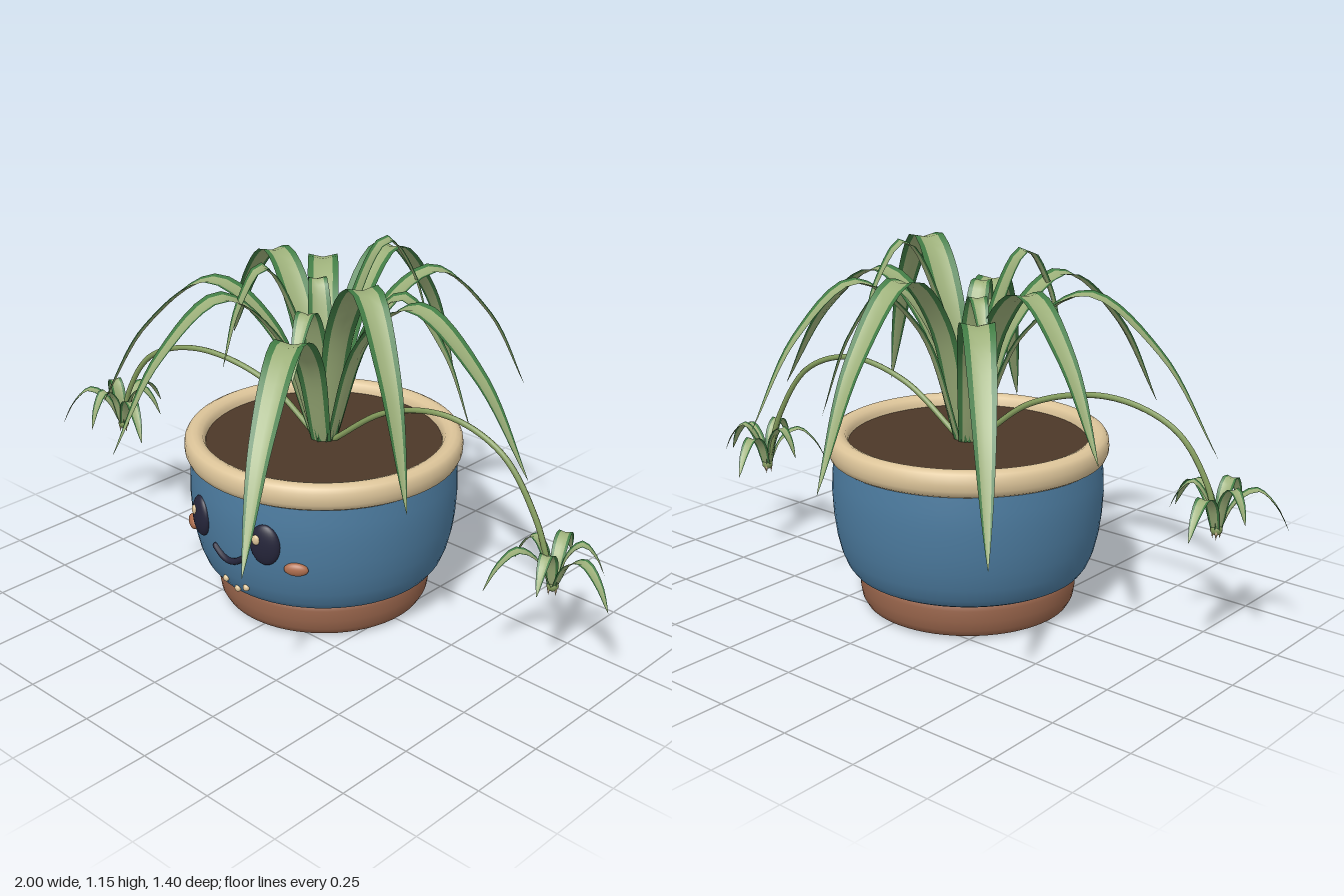
import * as THREE from 'three';

const mat = (name, color, side = THREE.FrontSide) => {
  const m = new THREE.MeshStandardMaterial({ color, side });
  m.name = name;
  return m;
};
const V = (x, y, z) => new THREE.Vector3(x, y, z);
const CX = -0.037, CZ = -0.005; // pot axis

export function createModel() {
  const model = new THREE.Group();
  model.name = 'pottedSpiderPlant';
  const blue = mat('blueGlaze', 0x4c7b9f), clay = mat('terracotta', 0x96634a);
  const cream = mat('cream', 0xdcc499), soilMat = mat('soil', 0x4c3828);
  const ink = mat('darkNavy', 0x25253a), blush = mat('blush', 0xae6e4e);
  const dark = mat('leafGreen', 0x427d45, THREE.DoubleSide);
  const light = mat('leafStripe', 0x9db07a, THREE.DoubleSide);
  const stemMat = mat('runnerGreen', 0x839b5c);

  const add = (name, geo, material, parent = model) => {
    const m = new THREE.Mesh(geo, material);
    m.name = name;
    parent.add(m);
    return m;
  };

  // Pot: foot, body, rim and soil
  const pot = new THREE.Group();
  pot.name = 'pot';
  pot.position.set(CX, 0, CZ);
  model.add(pot);
  const lathe = (name, pts, material) =>
    add(name, new THREE.LatheGeometry(pts.map(p => new THREE.Vector2(...p)), 64), material, pot);
  lathe('foot', [[0, 0], [0.29, 0], [0.305, 0.002], [0.322, 0.01], [0.333, 0.03], [0.338, 0.06], [0.338, 0.095], [0.332, 0.115], [0.3, 0.122]], clay);
  lathe('body', [[0.32, 0.113], [0.35, 0.115], [0.364, 0.123], [0.38, 0.145], [0.396, 0.185], [0.409, 0.24], [0.417, 0.3], [0.421, 0.37], [0.419, 0.43], [0.412, 0.49]], blue);
  lathe('rim', [[0.4, 0.478], [0.415, 0.479], [0.426, 0.486], [0.433, 0.502], [0.434, 0.52], [0.432, 0.538], [0.424, 0.551], [0.41, 0.558],
    [0.395, 0.558], [0.378, 0.551], [0.369, 0.535], [0.366, 0.51]], cream);
  const soil = add('soil', new THREE.CircleGeometry(0.372, 48), soilMat, pot);
  soil.rotation.x = -Math.PI / 2;
  soil.position.y = 0.525;

  // Face: flattened ellipsoids set on the curved front
  const bead = (name, x, y, R, size, material) => {
    const m = add(name, new THREE.SphereGeometry(1, 24, 16), material, pot);
    m.scale.set(...size);
    m.position.set(x, y, Math.sqrt(R * R - x * x));
    m.rotation.y = Math.asin(x / R);
  };
  for (const s of [-1, 1]) {
    bead('eye', s * 0.138, 0.35, 0.419, [0.049, 0.066, 0.022], ink);
    bead('eyeGlint', s * 0.138 - 0.014, 0.37, 0.438, [0.013, 0.016, 0.008], cream);
    bead('cheek', s * 0.224, 0.283, 0.419, [0.037, 0.021, 0.015], blush);
  }
  for (const [x, y] of [[-0.044, 0.165], [-0.001, 0.143], [0.044, 0.165]])
    bead('freckle', x, y, y > 0.15 ? 0.391 : 0.381, [0.011, 0.011, 0.009], cream);
  const smile = new THREE.CatmullRomCurve3([-1, -0.8, -0.45, 0, 0.45, 0.8, 1].map(u =>
    V(u * 0.06, 0.281 - 0.028 * Math.cos(u * Math.PI / 2), 0.415 - 0.003 * u * u)));
  add('mouth', new THREE.TubeGeometry(smile, 32, 0.01, 10), ink, pot);
  for (const s of [-1, 1]) {
    const end = add('mouthEnd', new THREE.SphereGeometry(0.01, 10, 8), ink, pot);
    end.position.set(s * 0.06, 0.281, 0.412);
  }

  // Leaf: shallow tapering strip along an arch, pale centre and green edges
  const across = [-1, -0.62, 0, 0.62, 1];
  function leafGeometry(root, tip, apexY, f, half, N) {
    const out = V(tip.x - root.x, 0, tip.z - root.z);
    const at = (r, y) => V(root.x + out.x * r, y, root.z + out.z * r);
    const curve = new THREE.CatmullRomCurve3([
      root, at(f * 0.42, root.y + (apexY - root.y) * 0.72), at(f, apexY),
      at((1 + f) / 2 + 0.03, apexY - (apexY - tip.y) * 0.36), tip]);
    const d = out.clone().normalize(), side = V(-d.z, 0, d.x);
    const pos = [], edge = [], mid = [];
    for (let i = 0; i <= N; i++) {
      const t = i / N, p = curve.getPointAt(t);
      const n = side.clone().cross(curve.getTangentAt(t)).normalize();
      const w = half * Math.min(0.55 + 1.1 * t, 1) * Math.pow(1 - Math.pow(t, 2.6), 0.9) + 0.0006;
      for (const u of across) {
        const q = p.clone().addScaledVector(side, u * w).addScaledVector(n, (Math.abs(u) - 0.5) * w * 0.22);
        pos.push(q.x, q.y, q.z);
      }
      if (i < N) for (let k = 0; k < 4; k++) {
        const a = i * 5 + k, b = a + 5;
        (k === 0 || k === 3 ? edge : mid).push(a, a + 1, b, a + 1, b + 1, b);
      }
    }
    const g = new THREE.BufferGeometry();
    g.setAttribute('position', new THREE.Float32BufferAttribute(pos, 3));
    g.setIndex([...edge, ...mid]);
    g.addGroup(0, edge.length, 0);
    g.addGroup(edge.length, mid.length, 1);
    g.computeVertexNormals();
    return g;
  }

  // Main rosette: tip x, y, z, arch height, arch position, half width
  const leaves = [
    [-0.6, 0.42, -0.59, 0.98, 0.5, 0.054], [-0.085, 0.54, -0.7, 1.07, 0.43, 0.055],
    [0.3, 0.62, -0.585, 1.04, 0.5, 0.052], [0.35, 0.58, -0.25, 1.0, 0.48, 0.052],
    [0.69, 0.59, -0.08, 1.02, 0.43, 0.055], [0.54, 0.56, 0.27, 1.11, 0.48, 0.056],
    [0.325, 0.45, 0.695, 0.96, 0.43, 0.056], [-0.33, 0.57, 0.595, 1.02, 0.45, 0.056],
    [-0.735, 0.53, 0.31, 1.0, 0.45, 0.052], [-0.7, 0.64, -0.25, 1.04, 0.45, 0.054],
    [-0.18, 0.8, 0.28, 1.1, 0.55, 0.05], [0.09, 0.82, 0.26, 0.99, 0.5, 0.046],
    [-0.23, 0.84, -0.16, 1.0, 0.52, 0.046], [0.14, 0.86, -0.29, 1.15, 0.55, 0.048],
  ];
  const rosette = new THREE.Group();
  rosette.name = 'leaves';
  model.add(rosette);
  for (const [x, y, z, apex, f, w] of leaves) {
    const a = Math.atan2(z - CZ, x - CX);
    const root = V(CX + 0.03 * Math.cos(a), 0.515, CZ + 0.03 * Math.sin(a));
    add('leaf', leafGeometry(root, V(x, y, z), apex, f, w, 28), [dark, light], rosette);
  }

  // Runners, each ending in a hanging plantlet with small roots
  const runners = [
    { path: [[-0.06, 0.52, 0], [-0.25, 0.67, 0.04], [-0.5, 0.722, 0.09], [-0.7, 0.655, 0.125], [-0.8, 0.51, 0.145], [-0.835, 0.38, 0.15]],
      tips: [[-1, 0.37, 0.28], [-0.83, 0.4, 0.29], [-0.645, 0.39, 0.23], [-0.71, 0.43, 0.09], [-0.86, 0.4, -0.04], [-0.95, 0.43, 0.11]] },
    { path: [[-0.01, 0.52, -0.01], [0.2, 0.67, -0.03], [0.42, 0.716, -0.05], [0.6, 0.65, -0.07], [0.72, 0.48, -0.085], [0.79, 0.285, -0.09]],
      tips: [[0.66, 0.28, 0.07], [0.84, 0.33, 0.06], [1, 0.29, -0.06], [0.91, 0.33, -0.17], [0.72, 0.3, -0.28], [0.66, 0.33, -0.08]] },
  ];
  for (const { path, tips } of runners) {
    const curve = new THREE.CatmullRomCurve3(path.map(p => V(...p)));
    add('runner', new THREE.TubeGeometry(curve, 48, 0.009, 8), stemMat);
    const plantlet = new THREE.Group();
    plantlet.name = 'plantlet';
    model.add(plantlet);
    const c = V(...path[path.length - 1]);
    tips.forEach((t, i) => {
      const a = Math.atan2(t[2] - c.z, t[0] - c.x);
      const root = V(c.x + 0.01 * Math.cos(a), c.y, c.z + 0.01 * Math.sin(a));
      add('plantletLeaf', leafGeometry(root, V(...t), c.y + 0.12 + 0.02 * (i % 2), 0.5, 0.025, 14), [dark, light], plantlet);
    });
    const crown = add('crown', new THREE.SphereGeometry(0.018, 12, 8), stemMat, plantlet);
    crown.position.copy(c);
    for (let i = 0; i < 3; i++) {
      const a = i * Math.PI * 2 / 3;
      const nub = add('rootNub', new THREE.ConeGeometry(0.006, 0.03, 8), cream, plantlet);
      nub.position.set(c.x + 0.012 * Math.cos(a), c.y - 0.016, c.z + 0.012 * Math.sin(a));
      nub.rotation.x = Math.PI;
    }
  }
  return model;
}
